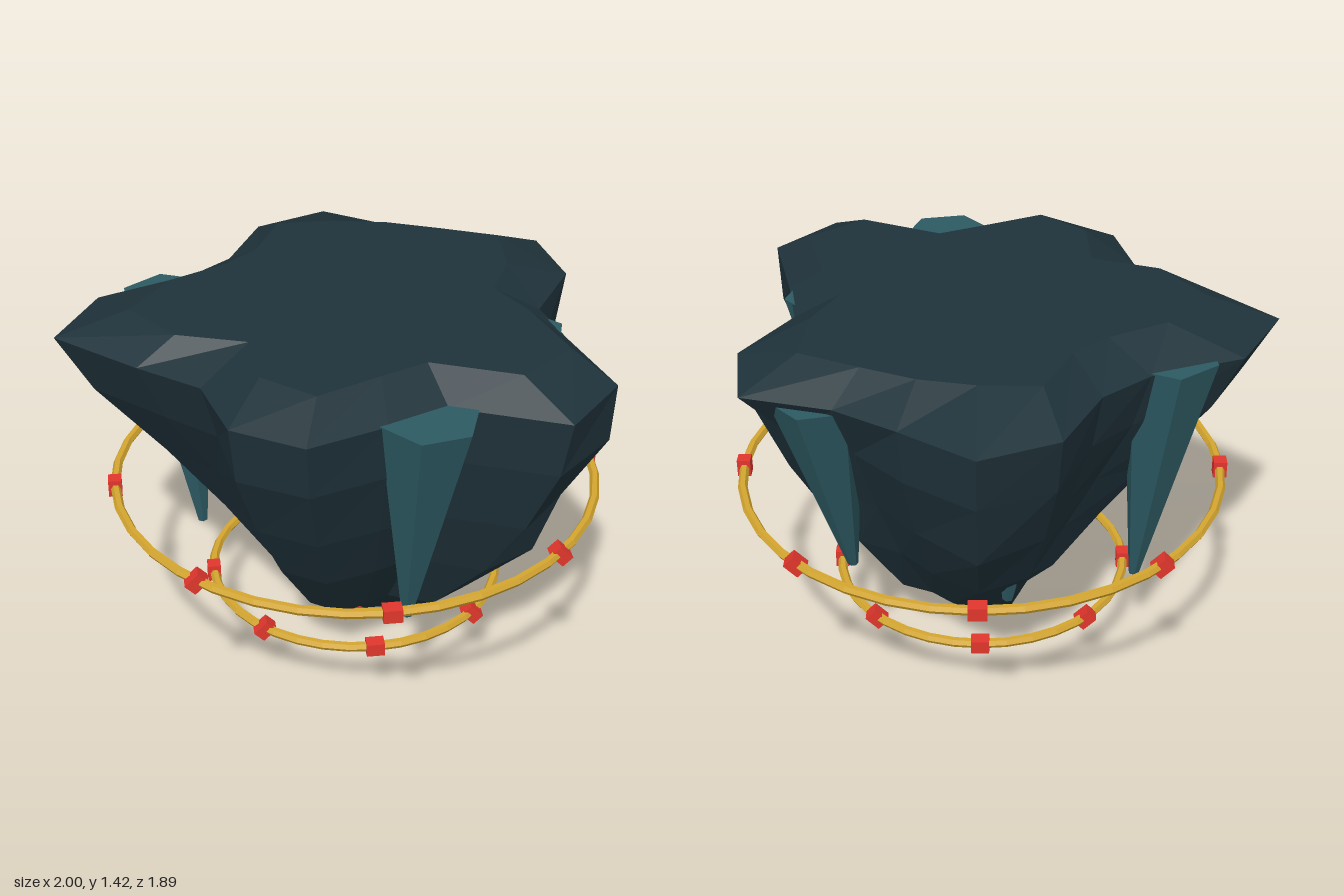
import * as THREE from 'three';

const CX = 0.07, CZ = 0.02; // vertical axis of the rock and rings

const mat = (name, color) => {
  const m = new THREE.MeshStandardMaterial({ color });
  m.name = name;
  return m;
};

// Faceted normals for the low-poly look
function facet(geometry) {
  const g = geometry.index ? geometry.toNonIndexed() : geometry;
  g.computeVertexNormals();
  return g;
}

function mesh(name, geometry, material) {
  const m = new THREE.Mesh(facet(geometry), material);
  m.name = name;
  return m;
}

// Inverted craggy rock: one star-like outline, scaled level by level
function rockGeometry() {
  const outline = [0.67, 0.75, 0.99, 1.01, 0.69, 0.75, 0.895, 0.87, 0.72, 0.83,
    1.07, 0.96, 0.72, 0.70, 0.89, 0.964, 0.83, 0.81, 0.98, 0.88];
  // height, scale, how far the -x side is cut back
  const levels = [
    [0.07, 0.05, 0], [0.3, 0.42, 0.32], [0.575, 0.66, 0.3], [0.84, 0.83, 0.21],
    [1.115, 0.96, 0.08], [1.33, 1, 0], [1.425, 0.78, 0.04],
  ];
  // corners that bulge or recede on their own, level by level
  const trim = {
    0: [1, 1, 1.05, 1.05, 1.04, 1, 0.95],
    1: [1, 1, 0.95, 0.92, 0.94, 1, 1.05],
    2: [1, 1.1, 1.12, 1, 1.03, 1, 1.06],
    6: [1, 1, 1, 1, 1, 1, 1.04],
    7: [1, 1.08, 1.08, 1.06, 1.03, 1, 1],
    8: [1, 1, 1, 1, 1, 1, 0.92],
    9: [1, 1, 1, 1, 1, 1, 1.1],
    11: [1, 1, 1, 1, 1, 1, 0.95],
    15: [1, 0.95, 1, 1.05, 1, 1, 0.87],
    17: [1, 0.95, 0.92, 0.9, 0.92, 1, 1.05],
    18: [1, 0.9, 0.85, 0.8, 0.84, 1, 0.98],
    19: [1, 1, 1, 1, 1, 1, 0.9],
  };
  const n = outline.length, pos = [], idx = [];
  levels.forEach(([y, k, cut], level) => {
    outline.forEach((r, i) => {
      const a = (i / n) * Math.PI * 2;
      const rr = r * k * (trim[i]?.[level] ?? 1) * (1 - cut * Math.max(0, -Math.cos(a)) ** 2);
      pos.push(CX + Math.cos(a) * rr, y, CZ + Math.sin(a) * rr);
    });
  });
  const last = (levels.length - 1) * n, bottom = levels.length * n, top = bottom + 1;
  pos.push(CX, levels[0][0], CZ, CX, 1.425, CZ);
  for (let i = 0; i < n; i++) {
    const i2 = (i + 1) % n;
    for (let j = 0; j < last; j += n) {
      idx.push(j + i, j + n + i, j + i2, j + i2, j + n + i, j + n + i2);
    }
    idx.push(bottom, i, i2, top, last + i2, last + i);
  }
  const g = new THREE.BufferGeometry();
  g.setAttribute('position', new THREE.Float32BufferAttribute(pos, 3));
  g.setIndex(idx);
  return g;
}

// Six-sided spike with a level top, leaning towards its tip
function shardGeometry([tx, ty, tz], [bx, by, bz], radius, twist) {
  const g = new THREE.CylinderGeometry(radius, 0.02, 1, 6, 1);
  g.rotateY(Math.atan2(tx - CX, tz - CZ) + twist);
  const p = g.attributes.position;
  for (let i = 0; i < p.count; i++) {
    const t = p.getY(i) + 0.5;
    p.setXYZ(i, p.getX(i) + bx + (tx - bx) * t, by + (ty - by) * t, p.getZ(i) + bz + (tz - bz) * t);
  }
  return g;
}

export function createModel() {
  const rock = mat('dark slate', 0x1f323a);
  const teal = mat('teal crystal', 0x2d5a63);
  const gold = mat('gold', 0xd4a630);
  const red = mat('red gem', 0xe0362c);

  const model = new THREE.Group();
  model.name = 'floatingRock';
  model.add(mesh('rockBody', rockGeometry(), rock));

  // Crystal shards set in the hollows: top centre, tip, top radius, twist
  const flat = Math.PI / 6;
  const shards = [
    [[0.21, 1.335, 0.74], [0.175, 0.455, 0.62], 0.172, flat],
    [[-0.59, 1.335, -0.265], [-0.505, 0.37, -0.205], 0.172, 0],
    [[0.63, 1.335, 0.19], [0.527, 0.375, 0.18], 0.165, flat],
    [[0.615, 1.3, -0.495], [0.535, 0.53, -0.375], 0.16, flat],
    [[-0.09, 1.3, -0.6], [-0.03, 0.45, -0.48], 0.16, flat],
  ];
  const crystals = new THREE.Group();
  crystals.name = 'crystalShards';
  for (const shard of shards) crystals.add(mesh('shard', shardGeometry(...shard), teal));
  model.add(crystals);

  // Two golden rings, each carrying eight gems
  for (const [name, radius, y] of [['upperRing', 0.9, 0.7], ['lowerRing', 0.548, 0.28]]) {
    const ring = new THREE.Group();
    ring.name = name;
    ring.position.set(CX, y, CZ);
    ring.add(mesh('band', new THREE.TorusGeometry(radius, 0.018, 6, 36).rotateX(Math.PI / 2), gold));
    for (let i = 0; i < 8; i++) {
      const a = (i / 8) * Math.PI * 2;
      const gem = mesh('gem', new THREE.BoxGeometry(0.05, 0.066, 0.052), red);
      gem.position.set(Math.cos(a) * radius, 0, Math.sin(a) * radius);
      gem.rotation.z = a;
      ring.add(gem);
    }
    model.add(ring);
  }

  // Gem at the lower tip
  const tipGem = mesh('tipGem', new THREE.IcosahedronGeometry(0.06, 1), red);
  tipGem.position.set(CX, 0.06, CZ);
  model.add(tipGem);
  return model;
}
